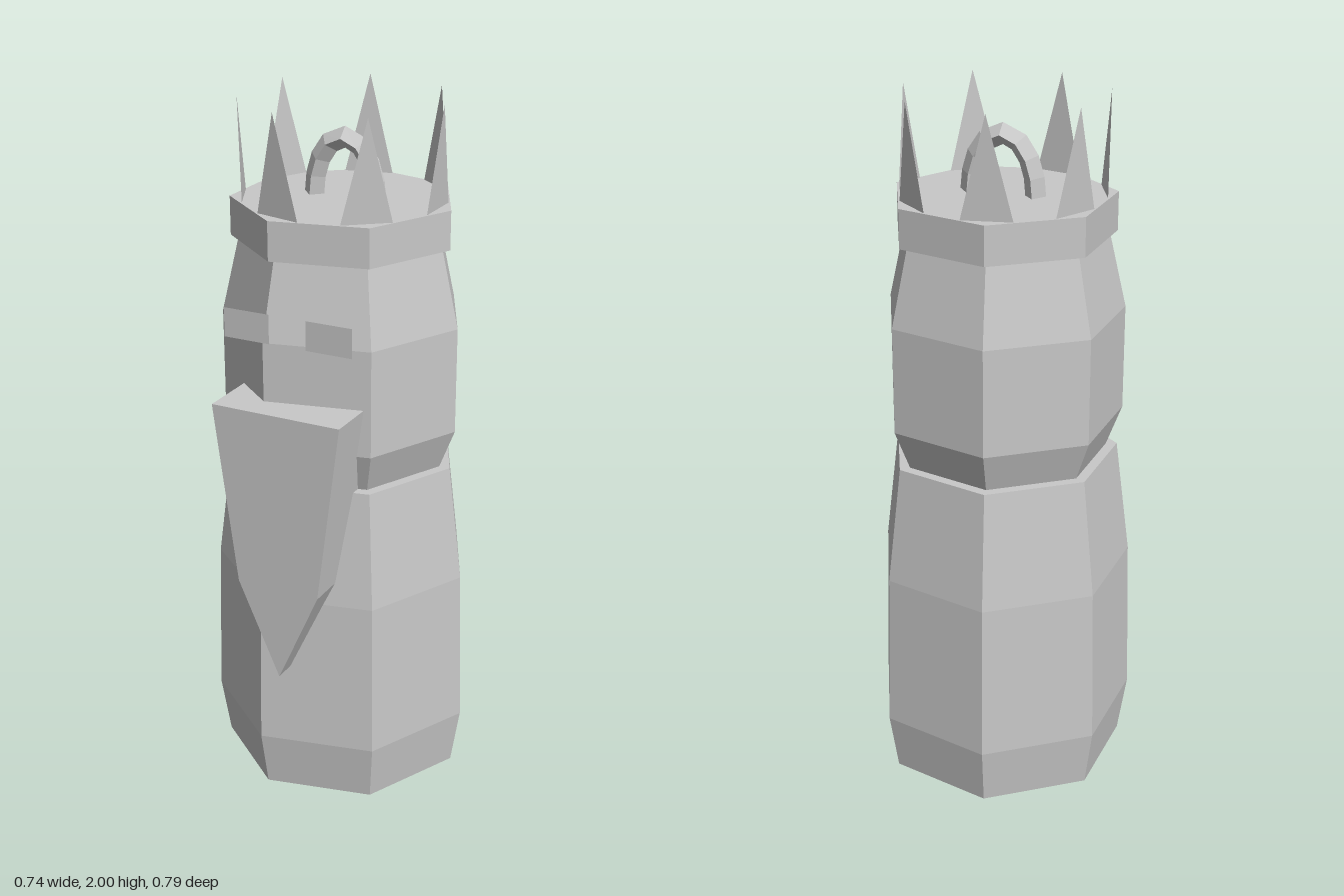
import * as THREE from 'three';

export function createModel() {
  const model = new THREE.Group();
  const grey = new THREE.MeshStandardMaterial({ color: 0xc8c8c8, flatShading: true, side: THREE.DoubleSide });
  grey.name = 'plain grey';
  const SIDES = 7, CX = -0.022, CZ = -0.02;

  const add = (name, geometry, parent = model) => {
    const mesh = new THREE.Mesh(geometry, grey);
    mesh.name = name;
    parent.add(mesh);
    return mesh;
  };

  // Seven-sided parts share one axis, with a corner towards +x
  const figure = new THREE.Group();
  figure.name = 'figure';
  figure.position.set(CX, 0, CZ);
  model.add(figure);

  const turned = (name, rings) => {
    const first = rings[0], last = rings[rings.length - 1];
    const profile = [[0, first[1]], ...rings, [0, last[1]]].map(([r, y]) => new THREE.Vector2(r, y));
    return add(name, new THREE.LatheGeometry(profile, SIDES, Math.PI / 2), figure);
  };
  turned('body', [[0.36, 0], [0.387, 0.17], [0.375, 0.63], [0.332, 0.97]]);
  turned('head', [[0.296, 0.96], [0.345, 1.085], [0.345, 1.39], [0.292, 1.62]]);
  turned('crownBand', [[0.317, 1.61], [0.317, 1.72]]);

  // Crown points: thin triangles leaning slightly outward
  const spike = new THREE.BufferGeometry();
  spike.setAttribute('position', new THREE.Float32BufferAttribute(
    [0.278, 1.72, 0.07, 0.278, 1.72, -0.07, 0.291, 2, 0], 3));
  spike.computeVertexNormals();
  for (let i = 0; i < SIDES; i++) {
    add('crownPoint', spike, figure).rotation.y = (i / SIDES) * Math.PI * 2;
  }

  // Arched loop on top of the crown, diamond in section
  const arch = [];
  for (let i = 0; i <= 8; i++) {
    const a = Math.PI * (1 - i / 8);
    arch.push(new THREE.Vector3(0.095 * Math.cos(a), 1.72 + 0.165 * Math.sin(a), 0));
  }
  add('topLoop', new THREE.TubeGeometry(new THREE.CatmullRomCurve3(arch), 8, 0.03, 4), figure);

  // Eyes: flat plates just ahead of the face
  for (const x of [-0.145, 0.103]) {
    add('eye', new THREE.PlaneGeometry(0.137, 0.083)).position.set(x, 1.433, 0.32);
  }

  // Beard: pointed slab set into the face and chest
  const outline = new THREE.Shape([
    [-0.214, 1.222], [-0.145, 0.7], [-0.02, 0.42], [0.104, 0.7], [0.173, 1.222],
  ].map(([x, y]) => new THREE.Vector2(x, y)));
  add('beard', new THREE.ExtrudeGeometry(outline, { depth: 0.197, bevelEnabled: false })).position.z = 0.2;

  return model;
}
